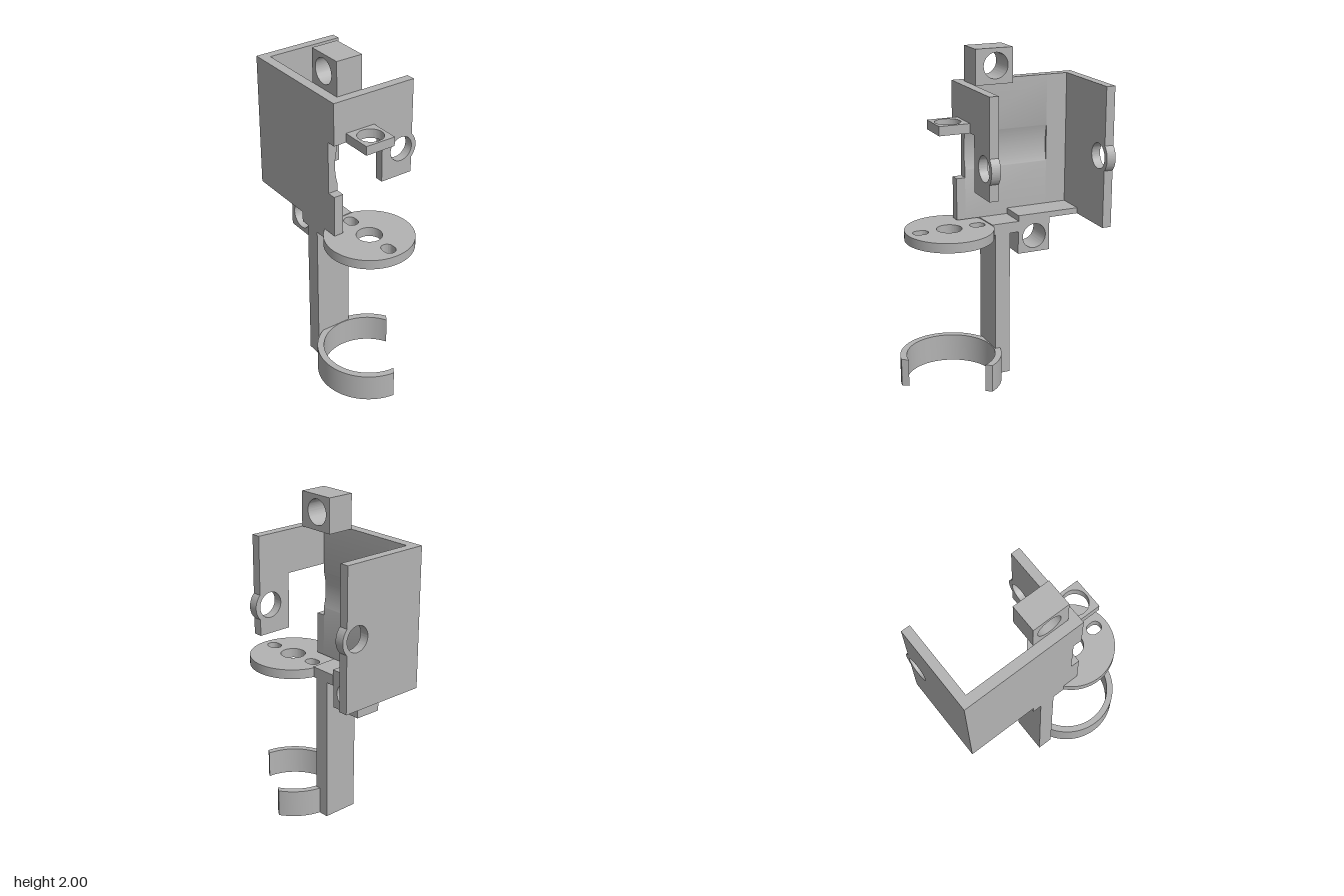
import * as THREE from 'three';
import { toCreasedNormals } from 'three/addons/utils/BufferGeometryUtils.js';

export function createModel() {
  const model = new THREE.Group();
  const grey = new THREE.MeshStandardMaterial({ color: 0xb3b3b3 });
  grey.name = 'plain grey';

  const HOLE = 0.075;          // radius shared by every round hole
  const CX = 0.28, CZ = 0.045; // vertical axis of shelf, disc and clip ring
  const PY = 1.38, PU = 0.245; // pivot axis of the side walls (PU = -z)

  const add = (name, geometry) => {
    const mesh = new THREE.Mesh(geometry, grey);
    mesh.name = name;
    model.add(mesh);
    return mesh;
  };
  const box = (name, x0, x1, y0, y1, z0, z1) =>
    add(name, new THREE.BoxGeometry(x1 - x0, y1 - y0, z1 - z0)
      .translate((x0 + x1) / 2, (y0 + y1) / 2, (z0 + z1) / 2));
  const extrude = (shape, depth) =>
    new THREE.ExtrudeGeometry(shape, { depth, bevelEnabled: false, curveSegments: 48 });
  const smooth = (g) => toCreasedNormals(g, 0.5);

  // Extrusions along each axis: shape is (-z, y), (x, -z) or (x, y)
  const alongX = (name, shape, x0, x1) =>
    add(name, smooth(extrude(shape, x1 - x0).rotateY(Math.PI / 2).translate(x0, 0, 0)));
  const alongY = (name, shape, y0, y1) =>
    add(name, smooth(extrude(shape, y1 - y0).rotateX(-Math.PI / 2).translate(0, y0, 0)));
  const alongZ = (name, shape, z0, z1) =>
    add(name, smooth(extrude(shape, z1 - z0).translate(0, 0, z0)));

  const poly = (pts) => new THREE.Shape(pts.map(([a, b]) => new THREE.Vector2(a, b)));
  const rect = (a0, a1, b0, b1) => poly([[a0, b0], [a1, b0], [a1, b1], [a0, b1]]);
  const hole = (shape, a, b, r = HOLE) => {
    shape.holes.push(new THREE.Path().absarc(a, b, r, 0, Math.PI * 2, true));
    return shape;
  };

  // Side walls with a rounded pivot lug on the rear edge
  const wall = (name, start, x0, x1) => {
    const s = new THREE.Shape();
    start.forEach(([a, b], i) => (i ? s.lineTo(a, b) : s.moveTo(a, b)));
    const r = 0.105, t = Math.acos((0.32 - PU) / r);
    s.absarc(PU, PY, r, -t, t, false);
    s.lineTo(0.32, 1.795);
    s.lineTo(-0.22, 1.795);
    s.closePath();
    alongX(name, hole(s, PU, PY), x0, x1);
  };
  wall('rightWall', [[-0.22, 0.965], [0.32, 0.965]], -0.585, -0.53);
  wall('leftWall', [[-0.22, 1.54], [0.11, 1.54], [0.11, 1.21], [0.32, 1.21]], 0.13, 0.185);

  // Front plate, with a shallow round recess swept about the pivot axis
  const R = 0.42, a = Math.acos((0.16 + PU) / R);
  const recessed = new THREE.Shape();
  recessed.moveTo(-0.22, 0.965);
  recessed.lineTo(-0.16, 0.965);
  recessed.absarc(PU, PY, R, Math.PI + a, Math.PI - a, true);
  recessed.lineTo(-0.16, 1.795);
  recessed.lineTo(-0.22, 1.795);
  recessed.closePath();
  alongX('frontPlate', recessed, -0.4, 0.13);
  box('frontPlateEnd', -0.53, -0.4, 0.965, 1.795, 0.16, 0.22);
  box('frontPlateCorner', 0.13, 0.185, 0.965, 1.22, 0.16, 0.22);

  // Floor strip inside the housing
  box('floor', -0.53, -0.14, 0.965, 1.0, -0.01, 0.16);

  // Drilled mounting blocks above and below
  alongZ('topBlock', hole(rect(-0.1, 0.13, 1.795, 2), 0.005, 1.9), -0.005, 0.16);
  alongZ('bottomBlock', hole(rect(-0.345, -0.14, 0.76, 0.965), -0.245, 0.86), -0.005, 0.16);

  // Side shelf with a vertical hole
  alongY('sideShelf', hole(rect(0.185, 0.37, -0.14, 0.05), CX, -CZ), 1.54, 1.595);

  // Bridge from plate to post and disc
  alongY('bridge', poly([[-0.14, -0.22], [0.085, -0.22], [0.04, -0.16], [0.03, 0.01],
    [-0.14, 0.01]]), 0.9, 0.965);

  // Round disc with centre hole and two slots
  const disc = new THREE.Shape().absarc(CX, -CZ, 0.262, 0, Math.PI * 2, false);
  hole(disc, CX, -CZ);
  for (const side of [-1, 1]) {
    const x = CX + side * 0.177, r = 0.037, h = 0.01;
    const slot = new THREE.Path();
    slot.absarc(x + h, -CZ, r, Math.PI / 2, -Math.PI / 2, true);
    slot.absarc(x - h, -CZ, r, -Math.PI / 2, -Math.PI * 1.5, true);
    slot.closePath();
    disc.holes.push(slot);
  }
  alongY('disc', disc, 0.902, 0.96);

  // Post
  box('post', -0.085, 0.01, 0, 0.9, -0.005, 0.22);

  // Open clip ring, its mouth cut along a straight chord
  const ro = 0.305, ri = 0.266, chord = 0.133, mid = 1.0;
  const ao = Math.acos(chord / ro), ai = Math.acos(chord / ri);
  const ring = new THREE.Shape();
  ring.absarc(CX, -CZ, ro, mid + ao, mid - ao + Math.PI * 2, false);
  ring.absarc(CX, -CZ, ri, mid - ai + Math.PI * 2, mid + ai, true);
  ring.closePath();
  alongY('clipRing', ring, 0, 0.17);

  return model;
}
